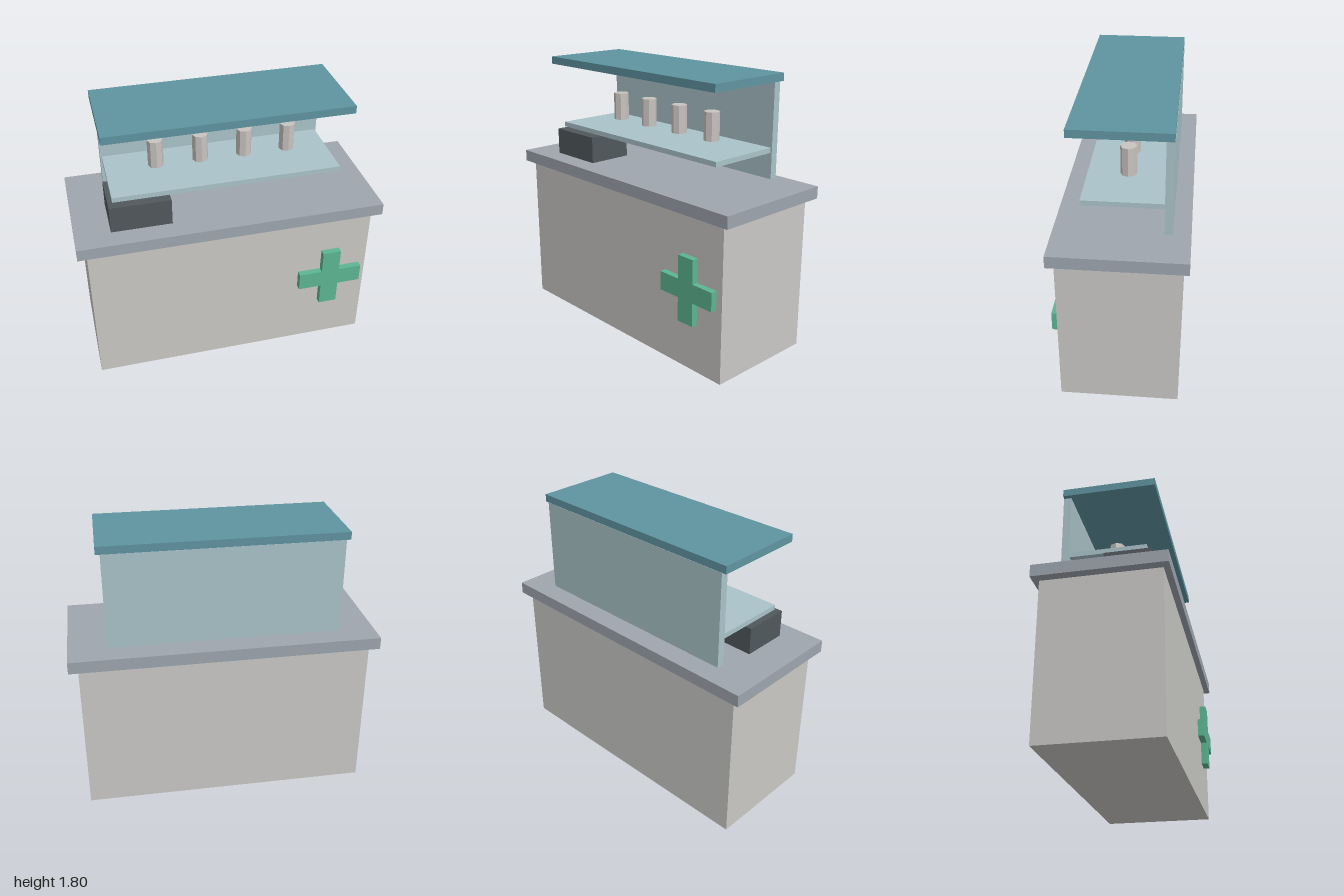
import * as THREE from 'three';

const material = (name, color) => {
  const m = new THREE.MeshStandardMaterial({ color });
  m.name = name;
  return m;
};

export function createModel() {
  const group = new THREE.Group();
  const warmGrey = material('warm grey', 0xc9c8c5);
  const slate = material('slate grey', 0x9ea5ae);
  const teal = material('teal', 0x5f94a1);
  const paleBlue = material('pale blue', 0xaac3c9);
  const green = material('green', 0x5cb592);
  const charcoal = material('charcoal', 0x50585c);
  const bottleGrey = material('bottle grey', 0xc8c3bf);
  bottleGrey.flatShading = true;

  const add = (name, geometry, mat) => {
    const mesh = new THREE.Mesh(geometry, mat);
    mesh.name = name;
    group.add(mesh);
    return mesh;
  };
  // Box given by its lower and upper limits on each axis
  const box = (name, mat, [x0, x1], [y0, y1], [z0, z1]) =>
    add(name, new THREE.BoxGeometry(x1 - x0, y1 - y0, z1 - z0), mat)
      .position.set((x0 + x1) / 2, (y0 + y1) / 2, (z0 + z1) / 2);

  // Counter
  box('cabinet', warmGrey, [-0.94, 0.94], [0, 1.027], [-0.375, 0.375]);
  box('countertop', slate, [-1, 1], [1.027, 1.106], [-0.415, 0.415]);
  box('register', charcoal, [-0.77, -0.378], [1.106, 1.285], [-0.028, 0.28]);

  // Display behind the counter
  box('backPanel', paleBlue, [-0.752, 0.752], [1.13, 1.75], [-0.305, -0.255]);
  box('shelf', paleBlue, [-0.742, 0.742], [1.3, 1.333], [-0.255, 0.24]);
  box('canopy', teal, [-0.78, 0.78], [1.75, 1.8], [-0.303, 0.303]);

  // Row of eight-sided bottles
  for (let i = 0; i < 4; i++) {
    add('bottle', new THREE.CylinderGeometry(0.051, 0.051, 0.185, 8), bottleGrey)
      .position.set(-0.419 + i * 0.2915, 1.462, -0.02);
  }

  // Cross on the cabinet front
  const r = 0.219, a = 0.062;
  const outline = [[a, r], [-a, r], [-a, a], [-r, a], [-r, -a], [-a, -a],
    [-a, -r], [a, -r], [a, -a], [r, -a], [r, a], [a, a]];
  const shape = new THREE.Shape(outline.map(([x, y]) => new THREE.Vector2(x, y)));
  add('cross', new THREE.ExtrudeGeometry(shape, { depth: 0.042, bevelEnabled: false }), green)
    .position.set(0.675, 0.545, 0.375);

  return group;
}
